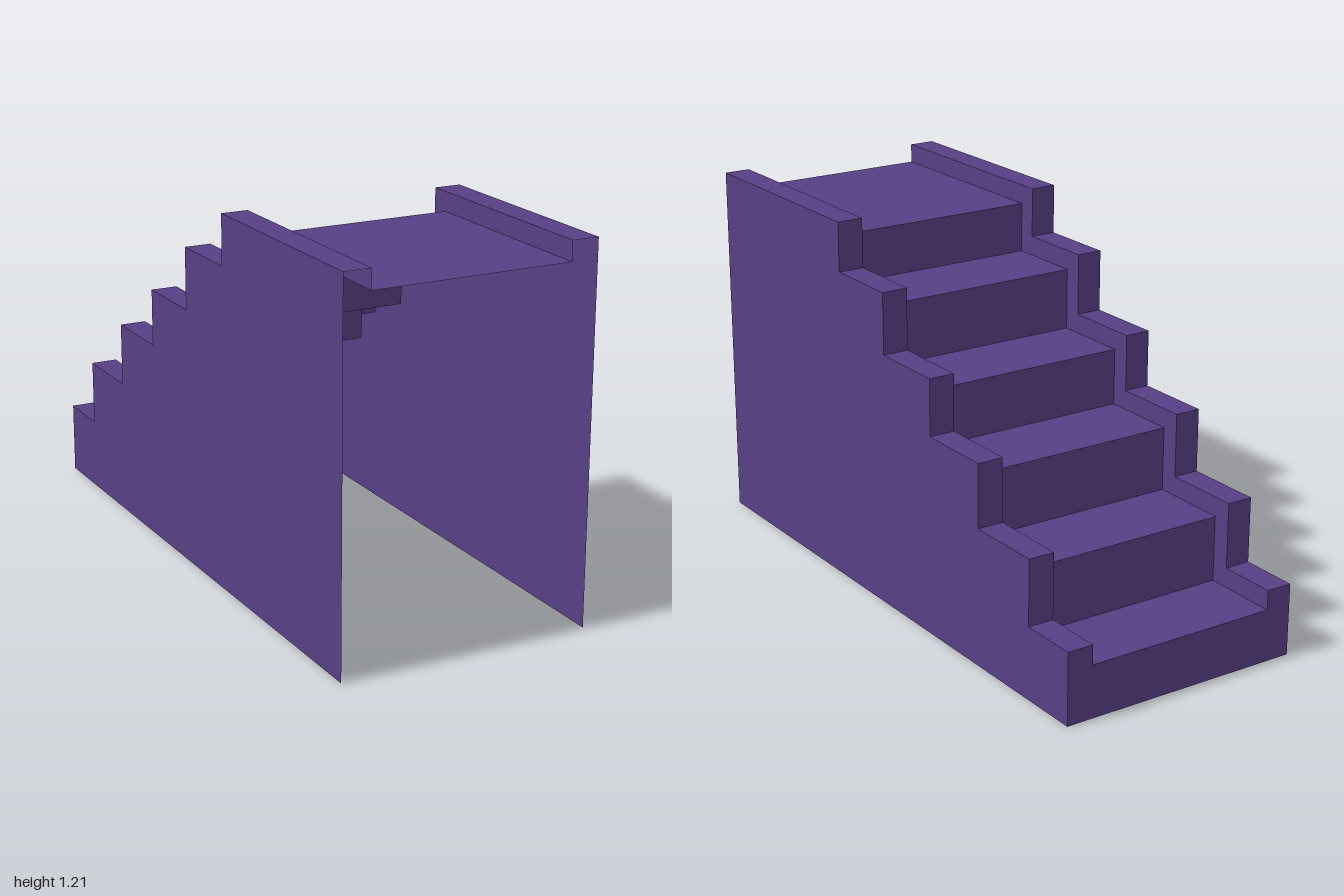
import * as THREE from 'three';

const HALF_WIDTH = 0.412, TREAD_HALF = 0.325, BACK = -1, FRONT = 1;

// Stepped outline as [z, y] points, climbing from the low back to the high front
function stairProfile(edges, heights) {
  const points = [[BACK, 0]];
  heights.forEach((y, i) => {
    const start = i === 0 ? BACK : edges[i - 1];
    const end = i < edges.length ? edges[i] : FRONT;
    points.push([start, y], [end, y]);
  });
  return points;
}

// Strip of flat faces that carries a profile from x0 to x1
function ribbon(profile, x0, x1) {
  const positions = [];
  for (let i = 0; i < profile.length - 1; i++) {
    const [za, ya] = profile[i], [zb, yb] = profile[i + 1];
    const a = [x0, ya, za], b = [x0, yb, zb], c = [x1, yb, zb], d = [x1, ya, za];
    positions.push(...a, ...b, ...c, ...a, ...c, ...d);
  }
  const geometry = new THREE.BufferGeometry();
  geometry.setAttribute('position', new THREE.Float32BufferAttribute(positions, 3));
  geometry.computeVertexNormals();
  return geometry;
}

// Upright sheet in the z-y plane at x, facing +x or -x
function sheet(outline, x, facing) {
  const shape = new THREE.Shape(outline.map(([z, y]) => new THREE.Vector2(-facing * z, y)));
  return new THREE.ShapeGeometry(shape).rotateY(facing * Math.PI / 2).translate(x, 0, 0);
}

export function createModel() {
  const group = new THREE.Group();
  group.name = 'staircase';

  const purple = new THREE.MeshStandardMaterial({ color: 0x574085, side: THREE.DoubleSide });
  purple.name = 'purple';

  const add = (name, geometry) => {
    const mesh = new THREE.Mesh(geometry, purple);
    mesh.name = name;
    group.add(mesh);
  };

  const steps = stairProfile([-0.743, -0.48, -0.218, 0.045, 0.307],
    [0.172, 0.386, 0.594, 0.779, 0.979, 1.142]);
  const rail = stairProfile([-0.804, -0.541, -0.279, -0.016, 0.246],
    [0.236, 0.45, 0.657, 0.842, 1.043, 1.205]);

  // Treads, risers and top landing, open underneath and at the front
  add('steps', ribbon(steps, -TREAD_HALF, TREAD_HALF));

  // Side walls with stepped rails
  const wallOutline = [...rail, [FRONT, 0]];
  const innerOutline = [...rail.slice(1), ...steps.slice(1).reverse()];
  for (const side of [1, -1]) {
    const label = side > 0 ? 'left' : 'right';
    const xs = [side * TREAD_HALF, side * HALF_WIDTH].sort((a, b) => a - b);
    add(label + 'Wall', sheet(wallOutline, side * HALF_WIDTH, side));
    add(label + 'RailTop', ribbon(rail, xs[0], xs[1]));
    add(label + 'RailInside', sheet(innerOutline, side * TREAD_HALF, -side));
  }
  return group;
}
